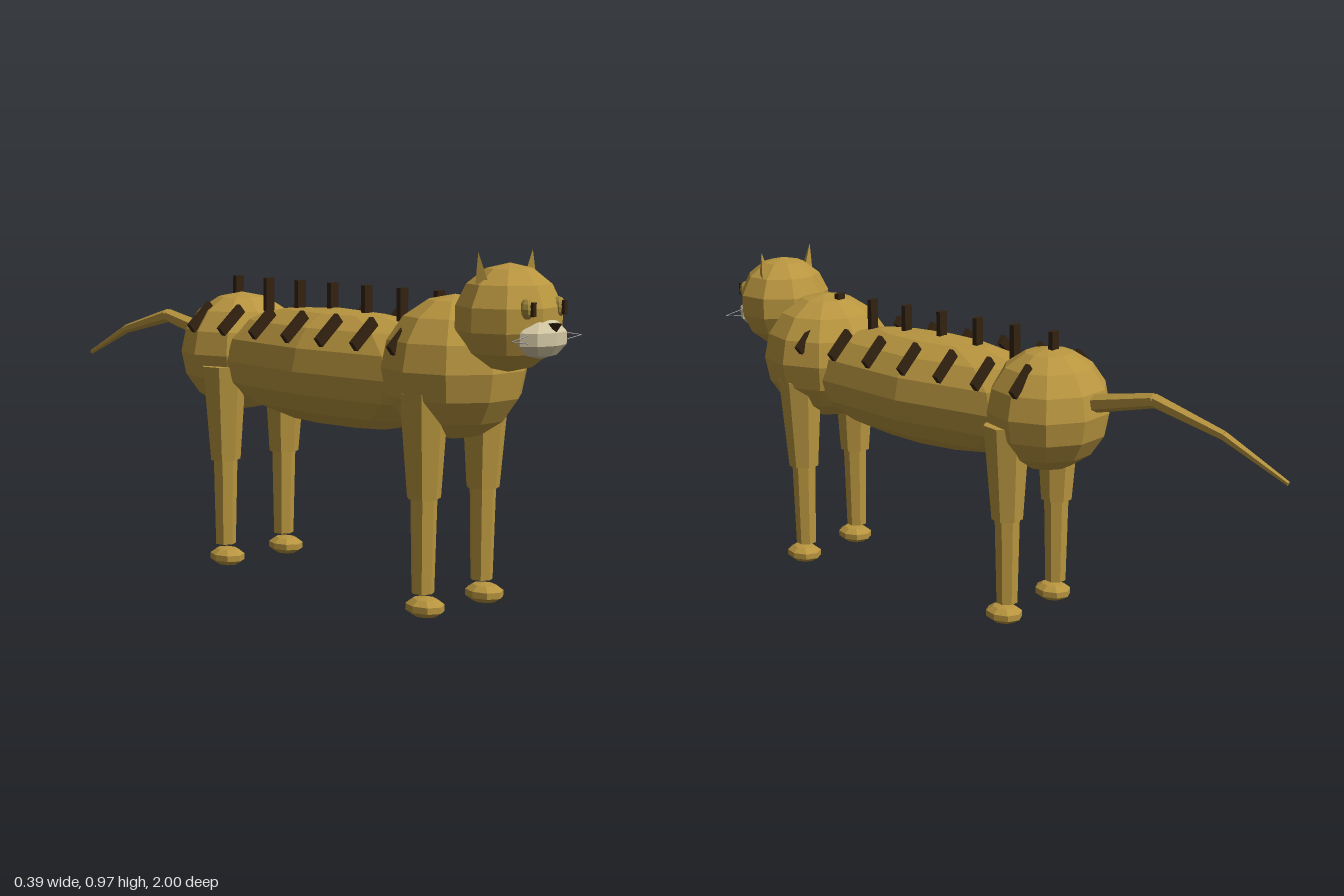
import * as THREE from 'three';

const mat = (name, color) => {
  const m = new THREE.MeshStandardMaterial({ color });
  m.name = name;
  return m;
};

export function createModel() {
  const model = new THREE.Group();
  model.name = 'stripedCat';
  const fur = mat('ochreFur', 0xb8953f);
  const dark = mat('darkBrown', 0x33220f);
  const cream = mat('creamMuzzle', 0xd2c6a2);
  const iris = mat('eyeOlive', 0xa58a3c);
  const grey = mat('whiskerGrey', 0xa0a0a0);

  // Adds a faceted mesh
  const add = (name, geometry, material, pos = [0, 0, 0], rot = [0, 0, 0]) => {
    const flat = geometry.index ? geometry.toNonIndexed() : geometry;
    flat.computeVertexNormals();
    const mesh = new THREE.Mesh(flat, material);
    mesh.name = name;
    mesh.position.set(...pos);
    mesh.rotation.set(...rot);
    model.add(mesh);
    return mesh;
  };
  const ball = (name, material, pos, radii, w, h) =>
    add(name, new THREE.SphereGeometry(1, w, h).scale(...radii), material, pos);

  // Tapered rod from point a to point b
  const rod = (name, material, a, b, ra, rb, sides) => {
    const from = new THREE.Vector3(...a), to = new THREE.Vector3(...b);
    const dir = to.clone().sub(from);
    const mesh = add(name, new THREE.CylinderGeometry(rb, ra, dir.length(), sides), material);
    mesh.position.copy(from).add(to).multiplyScalar(0.5);
    mesh.quaternion.setFromUnitVectors(new THREE.Vector3(0, 1, 0), dir.normalize());
    return mesh;
  };

  // Body and head
  ball('torso', fur, [0, 0.618, 0.2], [0.18, 0.168, 0.56], 10, 8);
  ball('chest', fur, [0, 0.657, 0.642], [0.197, 0.193, 0.198], 10, 8);
  ball('hips', fur, [0, 0.631, -0.223], [0.185, 0.177, 0.178], 10, 8);
  ball('head', fur, [0, 0.8, 0.828], [0.147, 0.14, 0.138], 9, 7);

  // Muzzle and nose
  ball('muzzle', cream, [0, 0.755, 0.935], [0.085, 0.053, 0.053], 8, 5);
  add('nose', new THREE.ConeGeometry(0.02, 0.026, 3), dark, [0, 0.782, 0.981], [Math.PI, Math.PI, 0]);

  for (const s of [1, -1]) {
    const side = s > 0 ? 'left' : 'right';

    // Ears
    rod(side + 'Ear', fur, [s * 0.086, 0.85, 0.822], [s * 0.105, 0.968, 0.814], 0.03, 0.0005, 3);

    // Eyes with slit pupils
    ball(side + 'Eye', iris, [s * 0.06, 0.831, 0.938], [0.019, 0.027, 0.02], 8, 6);
    add(side + 'Pupil', new THREE.BoxGeometry(0.012, 0.036, 0.009), dark, [s * 0.06, 0.831, 0.959]);

    // Whiskers
    for (const y of [0.768, 0.745]) {
      rod(side + 'Whisker', grey, [s * 0.06, y, 0.95], [s * 0.135, 0.756, 0.955], 0.0015, 0.001, 4);
    }

    // Legs and paws
    for (const [end, z] of [['Front', 0.645], ['Hind', -0.167]]) {
      const leg = side + end;
      rod(leg + 'UpperLeg', fur, [s * 0.116, 0.32, z], [s * 0.12, 0.6, z], 0.046, 0.067, 7);
      rod(leg + 'LowerLeg', fur, [s * 0.116, 0.065, z], [s * 0.116, 0.33, z], 0.031, 0.037, 7);
      ball(leg + 'Paw', fur, [s * 0.117, 0.028, z + 0.01], [0.049, 0.028, 0.06], 8, 5);
    }
  }

  // Stripes: one upright slab on the spine and one leaning on each flank
  for (let i = 0; i < 7; i++) {
    const z = 0.585 - i * 0.1372;
    const slab = () => new THREE.BoxGeometry(0.03, 0.1, 0.015);
    add('spineStripe', slab(), dark, [0, 0.805, z]);
    for (const s of [1, -1]) {
      add('flankStripe', slab(), dark, [s * 0.146, 0.739, z], [0, 0, s * 0.87]);
    }
  }

  // Tail in tapering sections
  const tail = [[0.66, -0.33, 0.028], [0.713, -0.58, 0.021], [0.655, -0.8, 0.014], [0.563, -0.997, 0.007]];
  for (let i = 0; i < 3; i++) {
    const [ya, za, ra] = tail[i], [yb, zb, rb] = tail[i + 1];
    rod('tailSection', fur, [0, ya, za], [0, yb, zb], ra, rb, 6);
  }

  return model;
}
